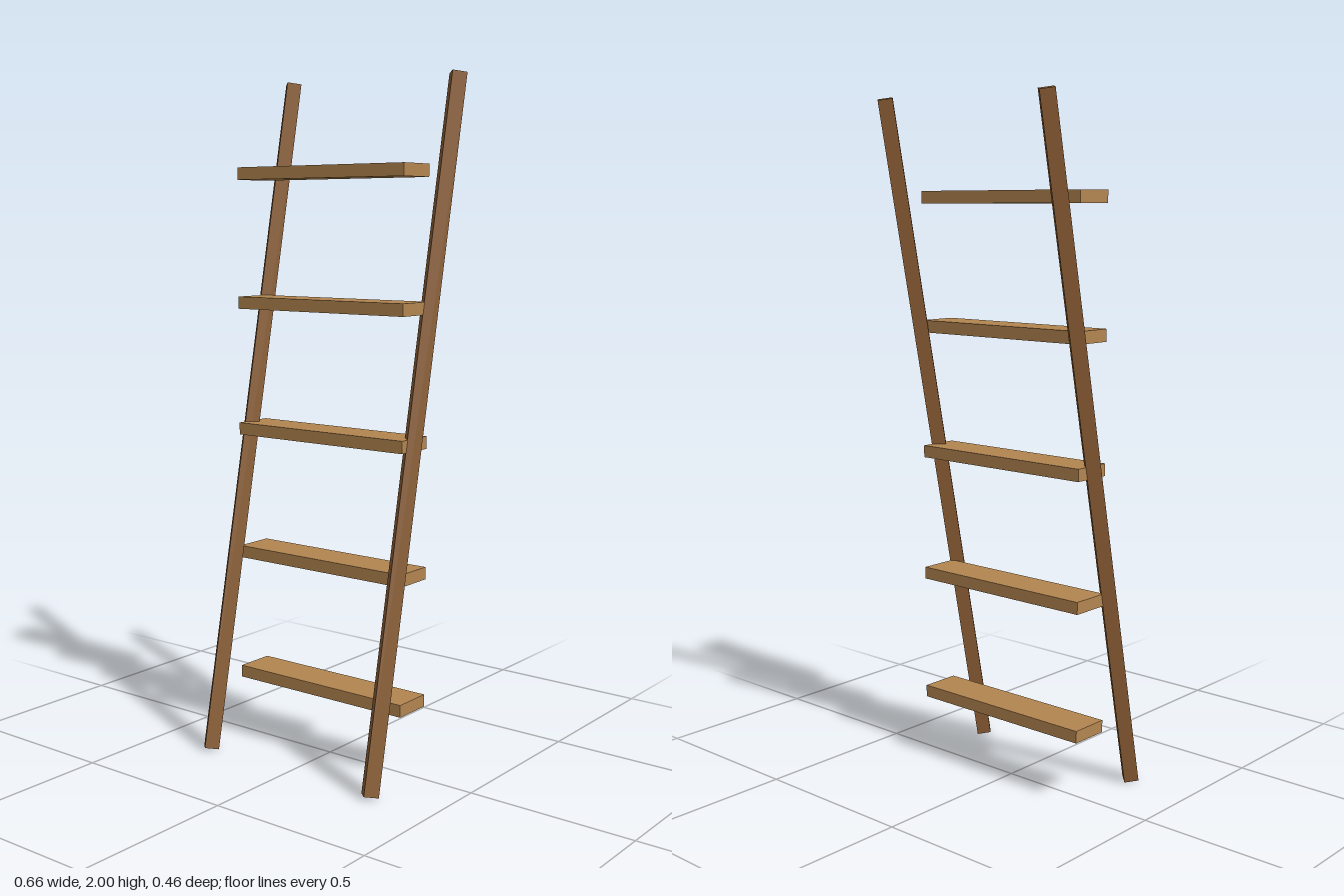
import * as THREE from 'three';

export function createModel() {
  const ladder = new THREE.Group();
  ladder.name = 'ladder';

  const darkWood = new THREE.MeshStandardMaterial({ color: 0x8b5e34, flatShading: true });
  darkWood.name = 'dark wood';
  const lightWood = new THREE.MeshStandardMaterial({ color: 0xb38550, flatShading: true });
  lightWood.name = 'light wood';

  // Two leaning square rails, set corner-on
  const railGeometry = new THREE.CylinderGeometry(0.03, 0.03, 2.0285, 4);
  for (const [name, x] of [['leftRail', 0.298], ['rightRail', -0.298]]) {
    const rail = new THREE.Mesh(railGeometry, darkWood);
    rail.name = name;
    rail.position.set(x, 1, 0);
    rail.rotation.x = -0.2;
    ladder.add(rail);
  }

  // Five level treads, stacked straight up
  const treadGeometry = new THREE.BoxGeometry(0.597, 0.036, 0.12);
  for (let i = 0; i < 5; i++) {
    const tread = new THREE.Mesh(treadGeometry, lightWood);
    tread.name = `tread${i + 1}`;
    tread.position.y = 0.209 + i * 0.378;
    ladder.add(tread);
  }

  return ladder;
}
